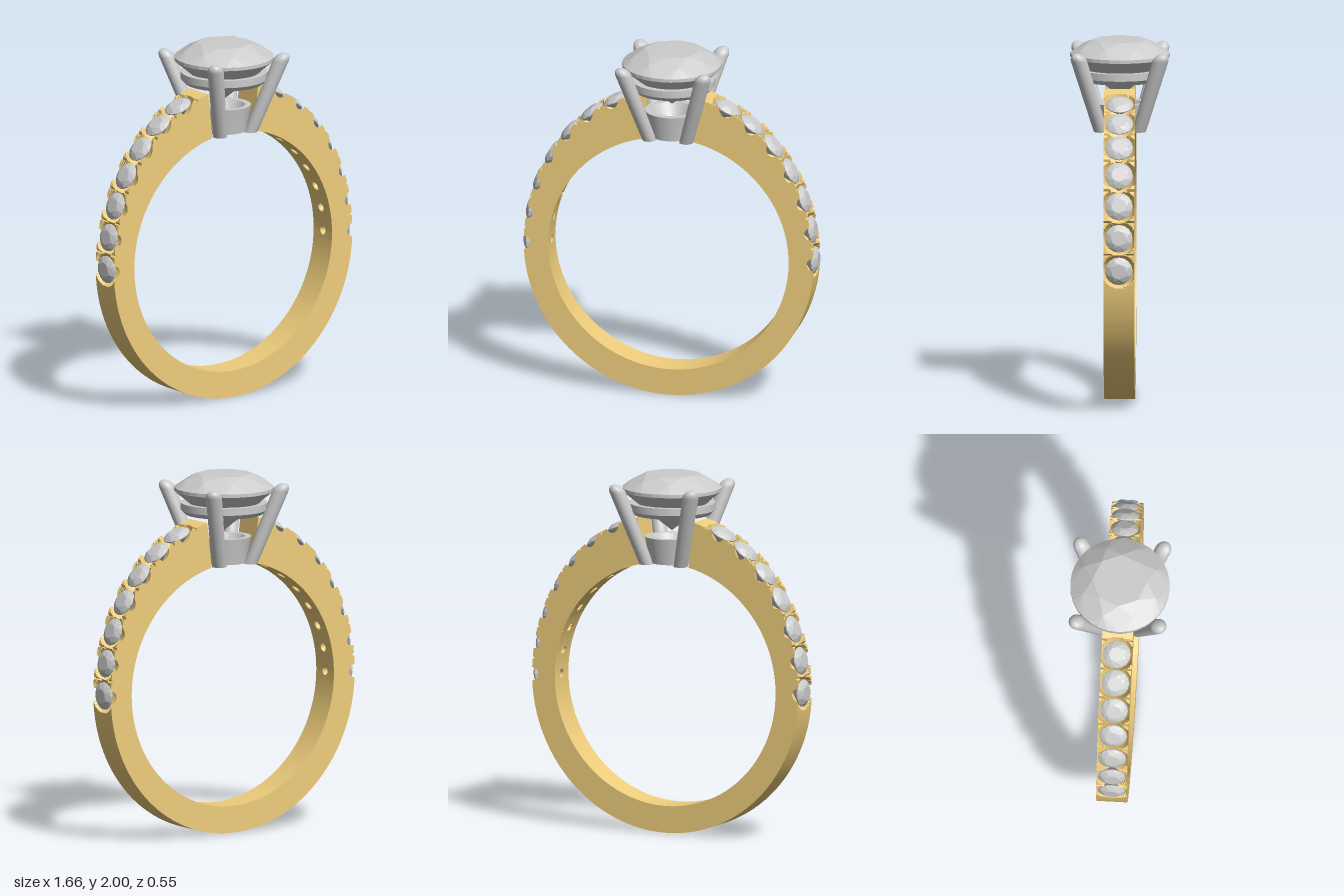
import * as THREE from 'three';
import { toCreasedNormals } from 'three/addons/utils/BufferGeometryUtils.js';
import { ConvexGeometry } from 'three/addons/geometries/ConvexGeometry.js';

const gold = new THREE.MeshStandardMaterial({ color: 0xeecd7c, side: THREE.DoubleSide });
const metal = new THREE.MeshStandardMaterial({ color: 0xcccccc, side: THREE.DoubleSide });
const stone = new THREE.MeshStandardMaterial({ color: 0xcccccc, flatShading: true });

const CY = 0.83, W = 0.085, R_IN = 0.68, R_OUT = 0.82, TOP = 0.94;
const STEP = Math.PI / 2 / 194, PITCH = 24 * STEP, STONES = 7, LAST = 362;
const SEAT = 0.093, HOLE = 0.024, HOLE_STEPS = 6, ACROSS = 20;

// Rim points: the upper half of the outside is taller than the lower half
const inner = (t, z) => new THREE.Vector3(R_IN * Math.cos(t), CY + R_IN * Math.sin(t), z);
const outer = (t, z) => new THREE.Vector3(
  R_OUT * Math.cos(t), CY + (t > 0 ? TOP : CY) * Math.sin(t), z);

// Outer surface, pressed in by round stone seats and thin cuts between them
function rim(t, z) {
  const p = outer(t, z);
  let depth = 0;
  for (let k = 0; k < STONES; k++) {
    const d2 = p.distanceToSquared(outer(k * PITCH, 0));
    if (d2 < SEAT * SEAT) depth = Math.max(depth, Math.sqrt(SEAT * SEAT - d2));
    if (Math.abs(t - (k + 0.5) * PITCH) < STEP / 2) depth = Math.max(depth, 0.014);
  }
  const inward = inner(t, z).sub(p).normalize();
  return p.addScaledVector(inward, depth);
}

// One half of the band, swept from the bottom up to the head
function halfBandGeometry() {
  const pos = [];
  const quad = (a, b, c, d) => [a, b, c, a, c, d].forEach(p => pos.push(p.x, p.y, p.z));
  const angle = i => -Math.PI / 2 + i * STEP;
  const row = i => Array.from({ length: ACROSS + 1 }, (_, j) => rim(angle(i), -W + 2 * W * j / ACROSS));
  let a = row(0);
  for (let i = 0; i < LAST; i++) {
    const b = row(i + 1), t0 = angle(i), t1 = angle(i + 1);
    for (let j = 0; j < ACROSS; j++) quad(a[j], b[j], b[j + 1], a[j + 1]);
    const l0 = inner(t0, -W), l1 = inner(t1, -W), r0 = inner(t0, W), r1 = inner(t1, W);
    quad(r0, a[ACROSS], b[ACROSS], r1);
    quad(l0, l1, b[0], a[0]);
    // leave gaps in the inside for the drilled patches
    const k = Math.round((t0 + STEP / 2) / PITCH);
    const drilled = k >= 0 && k < STONES && Math.abs(t0 + STEP / 2 - k * PITCH) < HOLE_STEPS * STEP;
    if (!drilled) quad(l0, r0, r1, l1);
    a = b;
  }
  // end face beside the head
  const end = angle(LAST);
  for (let j = 0; j < ACROSS; j++) {
    const z0 = -W + 2 * W * j / ACROSS, z1 = z0 + 2 * W / ACROSS;
    quad(inner(end, z0), inner(end, z1), a[j + 1], a[j]);
  }
  // drilled patches bent onto the inside
  const edge = [];
  for (let i = -HOLE_STEPS; i <= HOLE_STEPS; i++) edge.push(new THREE.Vector2(W, i * STEP * R_IN));
  for (let i = HOLE_STEPS; i >= -HOLE_STEPS; i--) edge.push(new THREE.Vector2(-W, i * STEP * R_IN));
  const shape = new THREE.Shape(edge);
  shape.holes.push(new THREE.Path().absarc(0, 0, HOLE, 0, Math.PI * 2, true));
  const patch = new THREE.ShapeGeometry(shape, 10).toNonIndexed().attributes.position;
  for (let k = 0; k < STONES; k++) {
    for (let i = 0; i < patch.count; i++) {
      const p = inner(k * PITCH + patch.getY(i) / R_IN, patch.getX(i));
      pos.push(p.x, p.y, p.z);
    }
  }
  const geo = new THREE.BufferGeometry();
  geo.setAttribute('position', new THREE.Float32BufferAttribute(pos, 3));
  return toCreasedNormals(geo, 0.5);
}

// Round brilliant cut of unit radius scaled to r, girdle at the origin
function gemGeometry(r, sides) {
  const pts = [new THREE.Vector3(0, -0.85 * r, 0)];
  const ring = (n, radius, y, turn) => {
    for (let i = 0; i < n; i++) {
      const a = (i + turn) / n * Math.PI * 2;
      pts.push(new THREE.Vector3(radius * r * Math.cos(a), y * r, radius * r * Math.sin(a)));
    }
  };
  ring(8, 0.55, 0.31, 0);
  ring(8, 0.79, 0.2, 0.5);
  ring(sides, 1, 0.035, 0);
  ring(sides, 1, -0.035, 0);
  ring(8, 0.3, -0.62, 0.5);
  return new ConvexGeometry(pts);
}

const lathe = (profile, n) => toCreasedNormals(
  new THREE.LatheGeometry(profile.map(([x, y]) => new THREE.Vector2(x, y)), n), 0.6);

function add(parent, name, geometry, material) {
  const mesh = new THREE.Mesh(geometry, material);
  mesh.name = name;
  parent.add(mesh);
  return mesh;
}

export function createModel() {
  const model = new THREE.Group();
  model.name = 'ring';
  const up = new THREE.Vector3(0, 1, 0);

  // Band halves with their side stones
  const bandGeo = halfBandGeometry(), smallGem = gemGeometry(0.077, 16);
  for (const side of [0, 1]) {
    const half = new THREE.Group();
    half.name = side ? 'rightHalf' : 'leftHalf';
    half.rotation.y = side * Math.PI;
    model.add(half);
    add(half, 'band', bandGeo, gold);
    for (let k = 0; k < STONES; k++) {
      const t = k * PITCH, top = outer(t, 0), bottom = inner(t, 0);
      const normal = new THREE.Vector3(Math.cos(t) / R_OUT, Math.sin(t) / TOP, 0).normalize();
      const gem = add(half, 'sideStone', smallGem, stone);
      gem.position.copy(top).addScaledVector(normal, -0.012);
      gem.quaternion.setFromUnitVectors(up, normal);
      // drilled hole under the stone
      const out = top.clone().sub(bottom), length = out.length() - 0.087;
      out.normalize();
      const bore = add(half, 'drillHole', new THREE.CylinderGeometry(HOLE, HOLE, length, 20, 1, true), gold);
      bore.position.copy(bottom).addScaledVector(out, length / 2);
      bore.quaternion.setFromUnitVectors(up, out);
    }
  }

  // Head: base cup, gallery ring and centre stone
  add(model, 'baseCup', lathe([[0.05, 1.505], [0.125, 1.505], [0.133, 1.56], [0.15, 1.65],
    [0.115, 1.65], [0.085, 1.6], [0.05, 1.56], [0.05, 1.505]], 48), metal);
  add(model, 'galleryRing', lathe([[0.155, 1.775], [0.215, 1.775], [0.24, 1.8], [0.24, 1.84],
    [0.205, 1.84], [0.155, 1.775]], 48), metal);
  add(model, 'centreStone', gemGeometry(0.275, 32), stone).position.y = 1.915;

  // Four leaning prongs with rounded tips
  const profile = [[0, 1.5], [0.039, 1.5], [0.045, 1.91]];
  for (let i = 1; i <= 6; i++) {
    const a = i / 6 * Math.PI / 2;
    profile.push([0.045 * Math.cos(a), 1.91 + 0.045 * Math.sin(a)]);
  }
  for (const sx of [-1, 1]) for (const sz of [-1, 1]) {
    const geo = lathe(profile, 24), p = geo.attributes.position;
    for (let i = 0; i < p.count; i++) {
      const lean = 0.105 + (p.getY(i) - 1.5) * 0.29;
      p.setX(i, p.getX(i) + sx * lean);
      p.setZ(i, p.getZ(i) + sz * lean);
    }
    add(model, 'prong', toCreasedNormals(geo, 0.6), metal);
  }
  return model;
}
